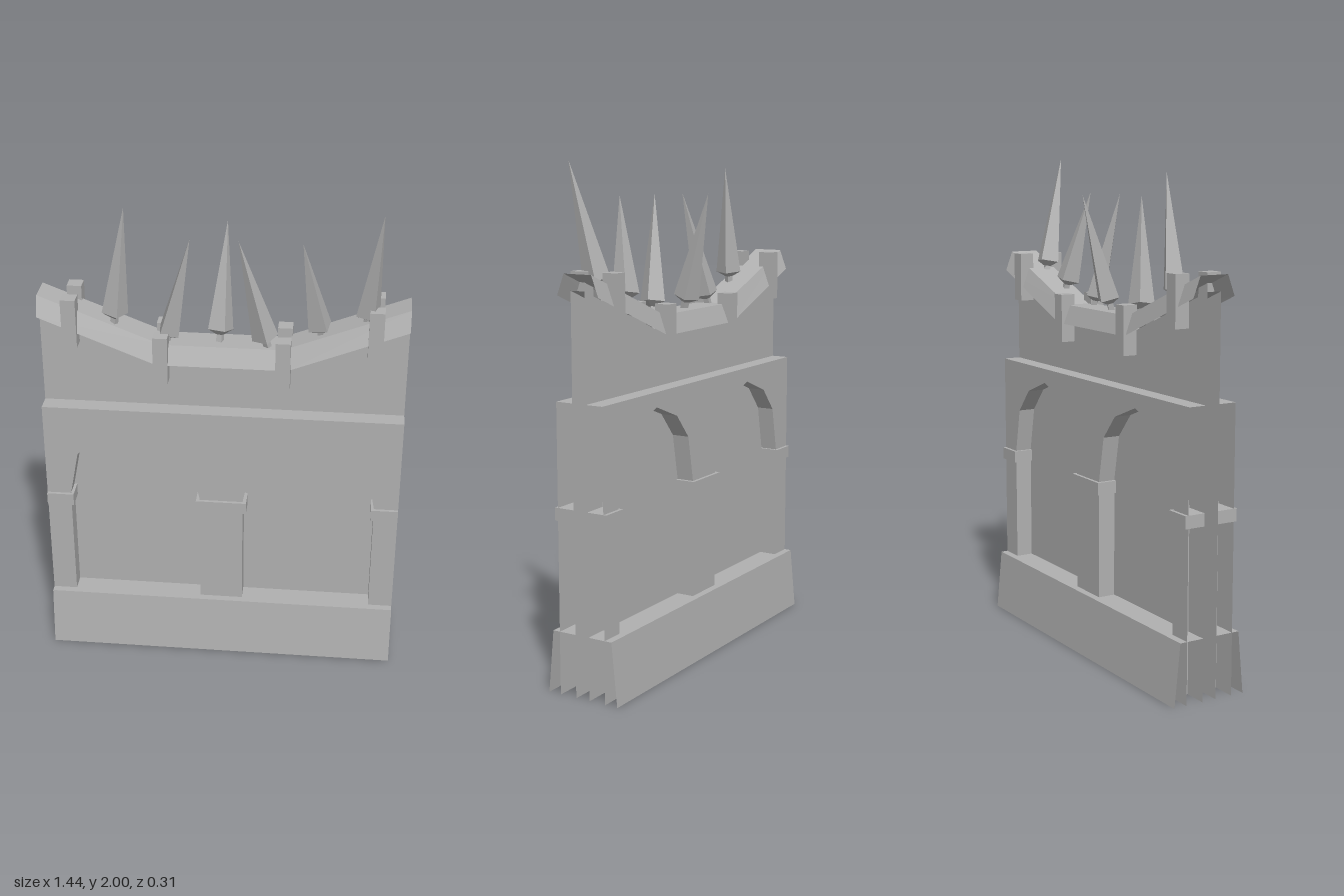
import * as THREE from 'three';

const W = 0.72; // half width of the wall

// Open sheet lofted between rows of points, with hard facets
function loft(rows) {
  const pos = [];
  for (let i = 0; i < rows.length - 1; i++) {
    for (let j = 0; j < rows[i].length - 1; j++) {
      const a = rows[i][j], b = rows[i][j + 1], c = rows[i + 1][j + 1], d = rows[i + 1][j];
      pos.push(...a, ...b, ...c, ...a, ...c, ...d);
    }
  }
  const g = new THREE.BufferGeometry();
  g.setAttribute('position', new THREE.Float32BufferAttribute(pos, 3));
  g.computeVertexNormals();
  return g;
}

// Straight row across the wall, and a row that dips in the middle
const row = (y, z) => [[-W, y, z], [W, y, z]];
const dipRow = (yEnd, yMid, xMid, z) =>
  [[-W, yEnd, z], [-xMid, yMid, z], [xMid, yMid, z], [W, yEnd, z]];

// Outline of one arch opening, centred on x = cx, from left foot to right foot
const archHalf = [[0.267, 0], [0.267, 0.73], [0.231, 0.917], [0.146, 1.015]];
const archPath = (cx) => [
  ...archHalf.map(([x, y]) => [cx - x, y]),
  [cx, 1.071],
  ...archHalf.slice().reverse().map(([x, y]) => [cx + x, y]),
];

export function createModel() {
  const model = new THREE.Group();
  model.name = 'spikedWall';
  const stone = new THREE.MeshStandardMaterial({ color: 0xb0b0b0, side: THREE.DoubleSide });
  stone.name = 'grey stone';

  const add = (parent, name, geometry) => {
    const m = new THREE.Mesh(geometry, stone);
    m.name = name;
    parent.add(m);
    return m;
  };
  const box = (parent, name, x0, x1, y0, y1, z0, z1) =>
    add(parent, name, new THREE.BoxGeometry(x1 - x0, y1 - y0, z1 - z0))
      .position.set((x0 + x1) / 2, (y0 + y1) / 2, (z0 + z1) / 2);

  // One face of the wall; the other is the same turned half round
  const face = new THREE.Group();
  face.name = 'wallFace';
  const zWall = 0.03, zArch = 0.102;

  add(face, 'wallSheet', loft([dipRow(0, 0, 0.24, zWall), dipRow(1.54, 1.35, 0.24, zWall)]));

  // Arcade panel with two arched openings reaching the ground
  const arches = [archPath(-0.355), archPath(0.355)];
  const outline = [[-W, 0], ...arches[0], ...arches[1], [W, 0], [W, 1.13], [-W, 1.13]];
  const panel = new THREE.ShapeGeometry(
    new THREE.Shape(outline.map(([x, y]) => new THREE.Vector2(x, y))));
  add(face, 'arcadePanel', panel.translate(0, 0, zArch));
  add(face, 'arcadeTop', loft([row(1.13, zArch), row(1.13, zWall)]));
  for (const arch of arches) {
    add(face, 'archReveal', loft([zWall, zArch].map((z) => arch.map(([x, y]) => [x, y, z]))));
  }

  // Bands around the column heads
  for (const [x0, x1] of [[-W, -0.61], [-0.103, 0.103], [0.61, W]]) {
    box(face, 'columnBand', x0, x1, 0.68, 0.73, zWall, 0.115);
  }

  // Leaning plinth with a flat ledge
  add(face, 'plinth', loft([row(0, 0.156), row(0.25, 0.132), row(0.25, zWall)]));

  // Brackets gripping the coping
  for (const s of [-1, 1]) {
    for (const [x, y0, y1] of [[0.592, 1.4, 1.6], [0.239, 1.26, 1.455]]) {
      box(face, 'bracket', s * x - 0.029, s * x + 0.029, y0, y1, 0.04, 0.1);
    }
  }

  const backFace = face.clone();
  backFace.rotation.y = Math.PI;
  model.add(face, backFace);

  // Top of the wall and the hollow coping over it
  add(model, 'wallTop', loft([dipRow(1.54, 1.35, 0.24, zWall), dipRow(1.54, 1.35, 0.24, -zWall)]));
  add(model, 'coping', loft([
    dipRow(1.52, 1.335, 0.255, 0.09), dipRow(1.6, 1.41, 0.235, 0.06),
    dipRow(1.6, 1.41, 0.235, -0.06), dipRow(1.52, 1.335, 0.255, -0.09),
  ]));

  // Leaning spikes: base point, tip point, turn
  const spikes = [
    [[-0.423, 1.505, 0.03], [-0.375, 1.957, 0.022], 0.3],
    [[-0.215, 1.43, 0.015], [-0.12, 1.862, 0.075], 0.9],
    [[-0.013, 1.435, -0.005], [0.005, 1.866, -0.12], 0.4],
    [[0.17, 1.43, 0.035], [0.065, 1.866, 0.09], 0.2],
    [[0.378, 1.48, 0.02], [0.305, 1.866, 0.095], 0.6],
    [[0.555, 1.545, 0.025], [0.598, 2, 0.12], 0.5],
  ];
  for (const [from, to, turn] of spikes) {
    const a = new THREE.Vector3(...from), b = new THREE.Vector3(...to);
    const dir = b.clone().sub(a);
    const profile = [[0, -0.06], [0.016, -0.06], [0.016, 0], [0.052, 0.02], [0, dir.length()]];
    const g = new THREE.LatheGeometry(profile.map((p) => new THREE.Vector2(...p)), 4).toNonIndexed();
    g.computeVertexNormals();
    g.rotateY(turn);
    const spike = add(model, 'spike', g);
    spike.position.copy(a);
    spike.quaternion.setFromUnitVectors(new THREE.Vector3(0, 1, 0), dir.normalize());
  }
  return model;
}
